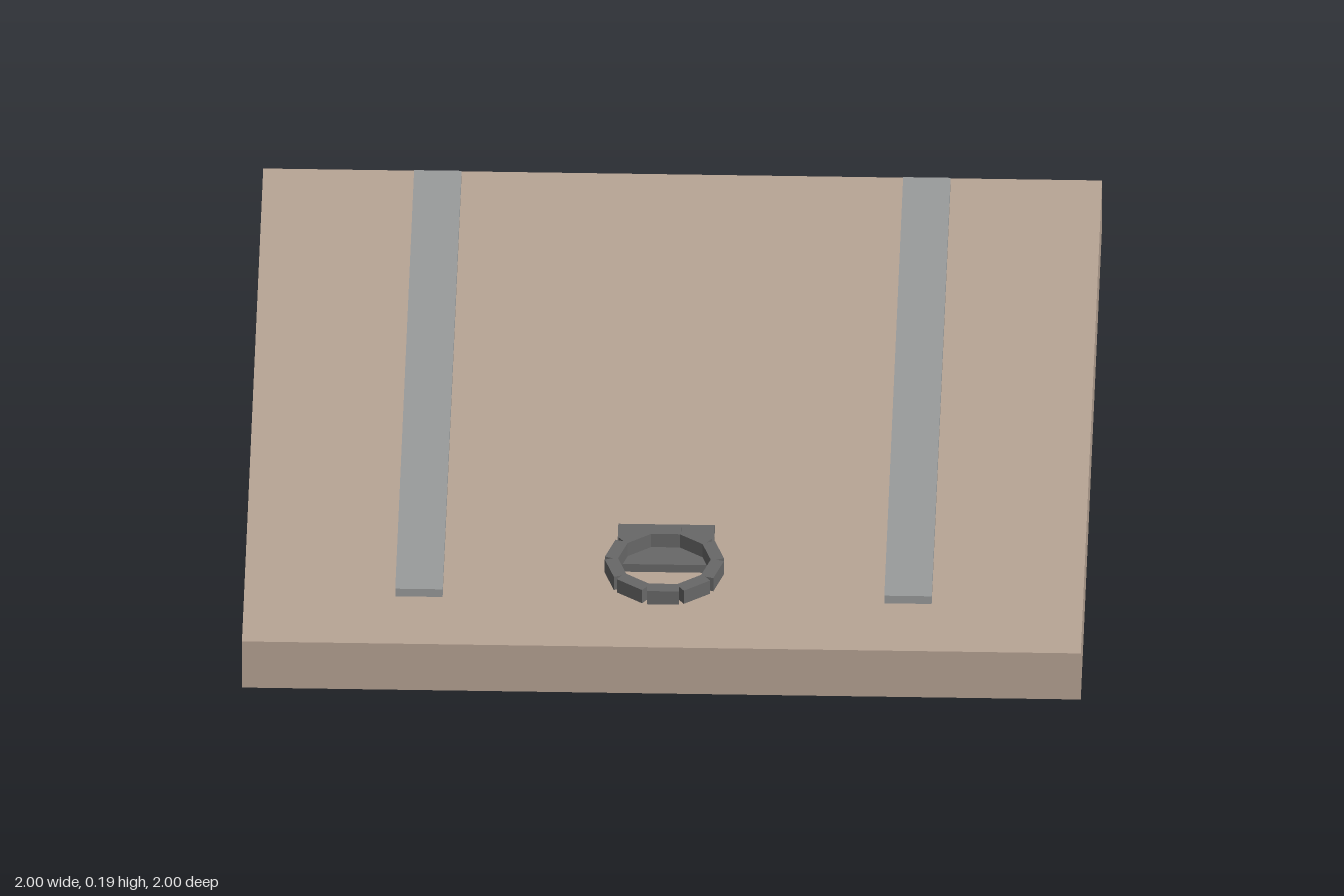
import * as THREE from 'three';

const material = (color) => new THREE.MeshStandardMaterial({ color, flatShading: true });

function box(name, size, position, mat) {
  const mesh = new THREE.Mesh(new THREE.BoxGeometry(...size), mat);
  mesh.name = name;
  mesh.position.set(...position);
  return mesh;
}

export function createModel() {
  const model = new THREE.Group();
  model.name = 'hatch';
  const wood = material(0xb8a595);
  const steel = material(0x9a9c9c);
  const iron = material(0x686868);

  // Door slab
  const slabTop = 0.133;
  model.add(box('slab', [2, slabTop, 2], [0, slabTop / 2, 0], wood));

  // Pair of flat metal straps
  for (const side of [-1, 1]) {
    const name = side > 0 ? 'leftStrap' : 'rightStrap';
    model.add(box(name, [0.113, 0.022, 1.77], [side * 0.583, slabTop + 0.011, -0.085], steel));
  }

  // Mounting plate of the pull ring
  model.add(box('ringPlate', [0.23, 0.022, 0.17], [0, slabTop + 0.011, 0.597], iron));

  // Pull ring made of ten straight links, with open wedges at the outer joints
  const ring = new THREE.Group();
  ring.name = 'pullRing';
  ring.position.set(0, 0.175, 0.715);
  const links = 10;
  const radius = 0.121;
  for (let i = 0; i < links; i++) {
    const a = ((i + 0.5) / links) * Math.PI * 2;
    const link = box('ringLink', [0.032, 0.038, 0.076], [Math.cos(a) * radius, 0, Math.sin(a) * radius], iron);
    link.rotation.y = -a;
    ring.add(link);
  }
  model.add(ring);

  return model;
}
